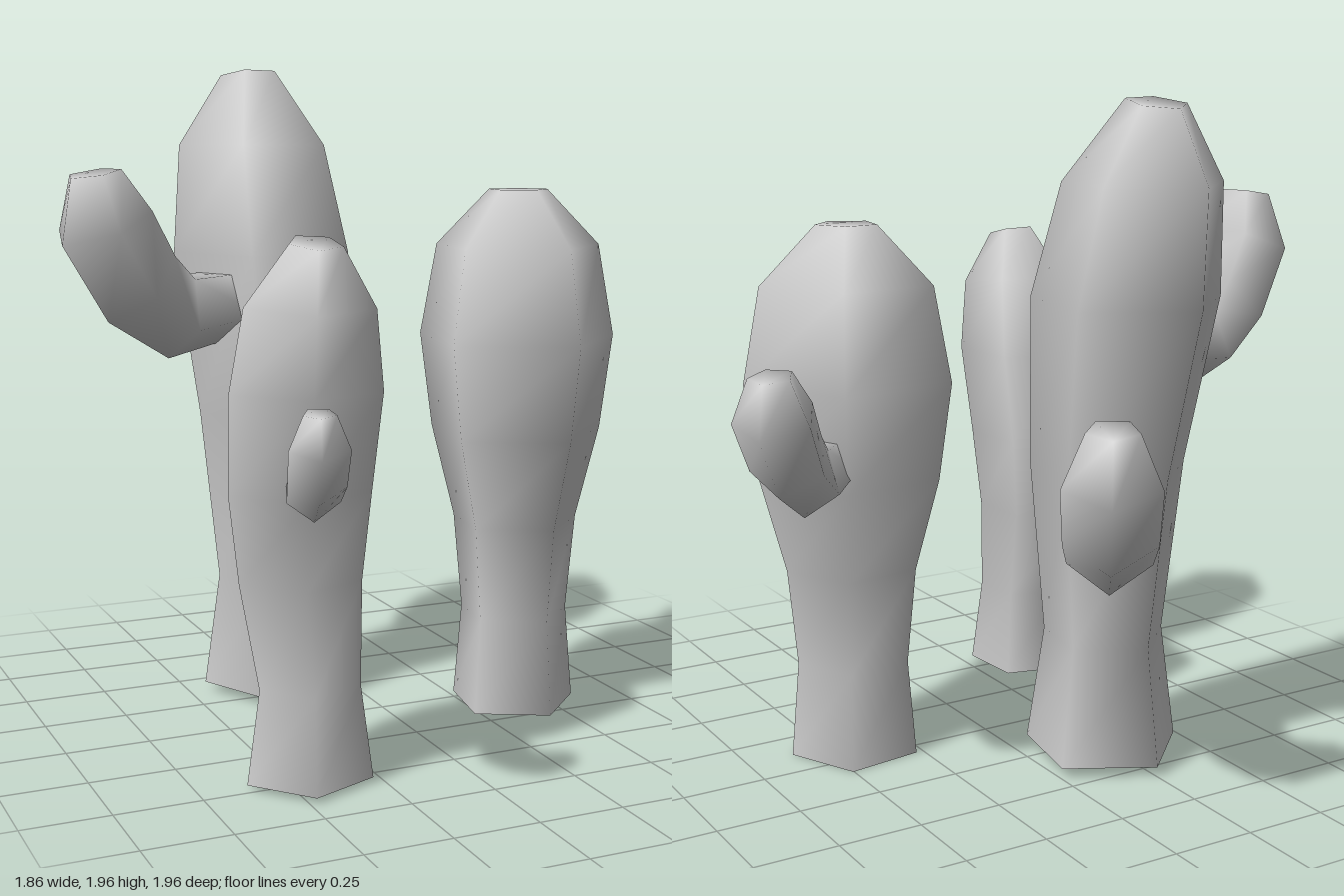
import * as THREE from 'three';

const SIDES = 5;
const material = new THREE.MeshStandardMaterial({ color: 0xcccccc, side: THREE.DoubleSide });

// Skin pentagonal rings { p, u, v, r } into a smooth tube, open at the start and capped at the end
function loft(name, rings, phase) {
  const pos = [], index = [];
  for (const { p, u, v, r } of rings) {
    for (let j = 0; j < SIDES; j++) {
      const a = phase + (j / SIDES) * Math.PI * 2;
      const q = p.clone().addScaledVector(u, r * Math.cos(a)).addScaledVector(v, r * Math.sin(a));
      pos.push(q.x, q.y, q.z);
    }
  }
  for (let i = 0; i < rings.length - 1; i++) {
    for (let j = 0; j < SIDES; j++) {
      const a = i * SIDES + j, b = i * SIDES + ((j + 1) % SIDES);
      index.push(a, a + SIDES, b, b, a + SIDES, b + SIDES);
    }
  }
  const top = (rings.length - 1) * SIDES;
  for (let k = 1; k < SIDES - 1; k++) index.push(top, top + k + 1, top + k);
  const geo = new THREE.BufferGeometry();
  geo.setAttribute('position', new THREE.Float32BufferAttribute(pos, 3));
  geo.setIndex(index);
  geo.computeVertexNormals();
  const mesh = new THREE.Mesh(geo, material);
  mesh.name = name;
  return mesh;
}

// Trunk rings: [y, centre x, centre z, radius, lean towards +z]
function trunk(rows, phaseDeg) {
  const rings = rows.map(([y, x, z, r, lean = 0]) => ({
    p: new THREE.Vector3(x, y, z),
    u: new THREE.Vector3(1, 0, 0),
    v: new THREE.Vector3(0, -Math.sin(lean), Math.cos(lean)),
    r,
  }));
  return loft('trunk', rings, THREE.MathUtils.degToRad(phaseDeg));
}

// Arm rings: [outward, up, radius, pitch in degrees], bending from level to upright
const ARM = [
  [0, 0, 0.105, 0],
  [0.23, -0.02, 0.125, 10],
  [0.365, 0.07, 0.135, 45],
  [0.475, 0.235, 0.14, 70],
  [0.5, 0.375, 0.075, 80],
];

function arm([x, y, z], [dx, dz], scale) {
  const d = new THREE.Vector3(dx, 0, dz).normalize();
  const up = new THREE.Vector3(0, 1, 0);
  const rings = ARM.map(([out, rise, r, pitch]) => {
    const a = THREE.MathUtils.degToRad(pitch);
    const t = d.clone().multiplyScalar(Math.cos(a)).addScaledVector(up, Math.sin(a));
    const u = d.clone().multiplyScalar(Math.sin(a)).addScaledVector(up, -Math.cos(a));
    const v = new THREE.Vector3().crossVectors(u, t);
    const p = new THREE.Vector3(x, y, z).addScaledVector(d, out * scale).addScaledVector(up, rise * scale);
    return { p, u, v, r: r * scale };
  });
  return loft('arm', rings, 0);
}

function cactus(name, ...parts) {
  const group = new THREE.Group();
  group.name = name;
  group.add(...parts);
  return group;
}

export function createModel() {
  const model = new THREE.Group();
  model.name = 'cacti';

  // Stout cactus with one arm
  model.add(cactus('stoutCactus',
    trunk([
      [0, 0.41, 0.09, 0.197],
      [0.29, 0.41, 0.09, 0.172],
      [0.58, 0.41, 0.09, 0.2],
      [0.86, 0.41, 0.09, 0.275],
      [1.15, 0.41, 0.09, 0.315],
      [1.43, 0.41, 0.09, 0.262],
      [1.6, 0.41, 0.09, 0.093],
    ], 10),
    arm([0.53, 0.945, -0.03], [0.72, -0.69], 0.84)));

  // Tall cactus leaning back, with two arms
  model.add(cactus('tallCactus',
    trunk([
      [0.03, -0.217, -0.335, 0.238],
      [0.38, -0.218, -0.335, 0.187],
      [0.9, -0.21, -0.36, 0.24],
      [1.4, -0.21, -0.445, 0.288],
      [1.73, -0.22, -0.5, 0.24],
      [1.95, -0.22, -0.545, 0.09, -0.17],
    ], -26),
    arm([-0.13, 0.775, -0.476], [0.56, -0.83], 1),
    arm([-0.34, 1.25, -0.365], [-0.92, 0.39], 1.08)));

  // Small cactus leaning forward, with one arm
  model.add(cactus('smallCactus',
    trunk([
      [0.015, -0.437, 0.47, 0.183],
      [0.28, -0.438, 0.478, 0.146],
      [0.57, -0.453, 0.448, 0.176],
      [0.82, -0.46, 0.465, 0.203],
      [1.1, -0.465, 0.525, 0.215],
      [1.33, -0.466, 0.562, 0.183, 0.1],
      [1.49, -0.455, 0.59, 0.075, 0.23],
    ], -40),
    arm([-0.5, 0.885, 0.645], [-0.28, 0.96], 0.58)));

  return model;
}
